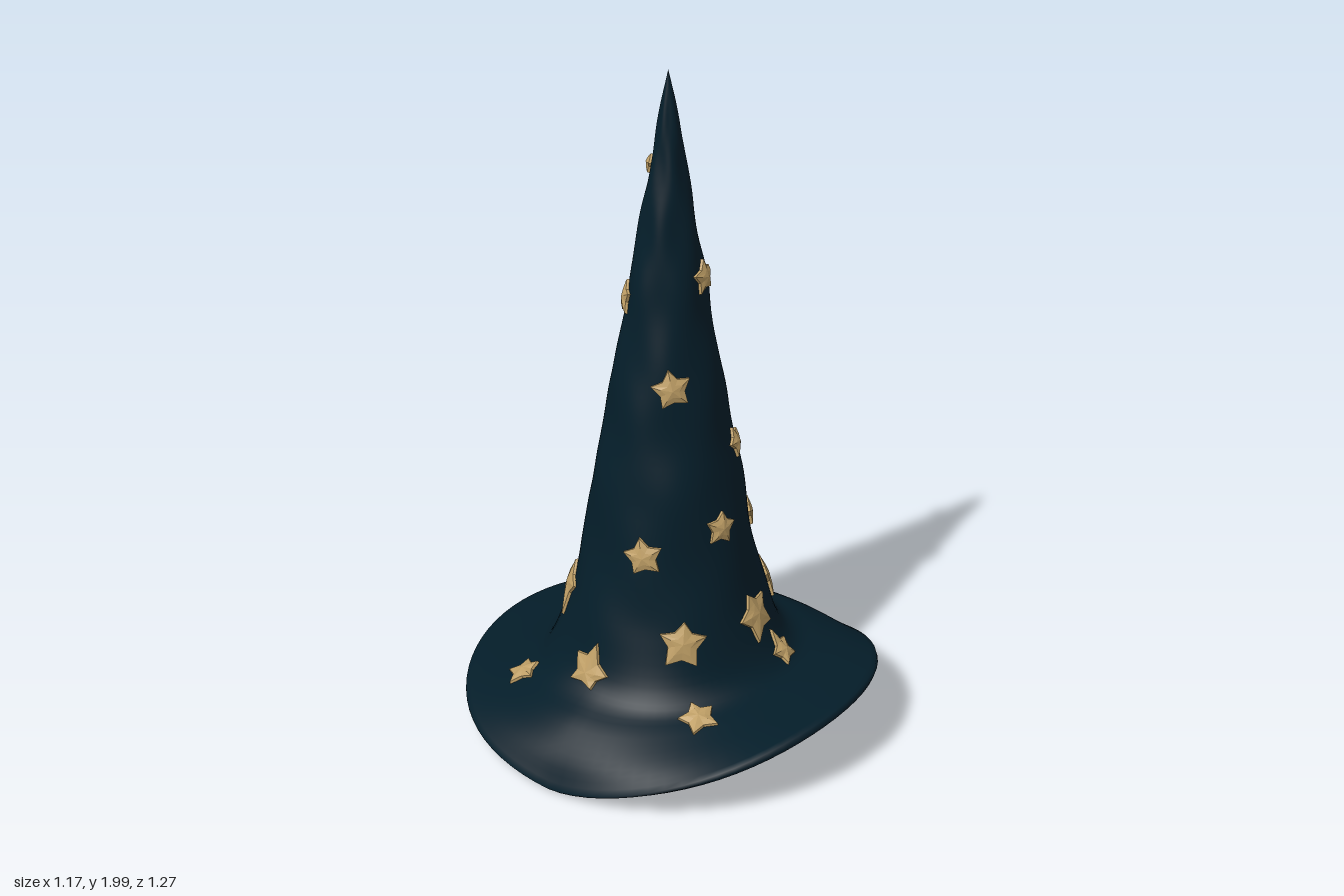
import * as THREE from 'three';

const V = (r, y) => new THREE.Vector3(r, y, 0);

// Brim profiles (radius, height) for the front, side and back, rim first
const brims = [
  [[0.63, 0.257], [0.55, 0.242], [0.46, 0.233], [0.39, 0.24], [0.342, 0.285]],
  [[0.582, 0.018], [0.538, 0.1], [0.455, 0.172], [0.38, 0.213], [0.338, 0.265]],
  [[0.63, 0.08], [0.55, 0.09], [0.465, 0.108], [0.4, 0.15], [0.35, 0.235]],
];
// Crown profile shared by all directions
const crown = [[0.295, 0.4], [0.268, 0.5], [0.245, 0.61], [0.226, 0.74], [0.208, 0.85], [0.181, 0.97],
  [0.163, 1.09], [0.141, 1.2], [0.118, 1.32], [0.104, 1.43], [0.083, 1.54], [0.067, 1.64],
  [0.046, 1.75], [0.034, 1.83], [0.018, 1.92], [0, 2]];
const [front, side, back] = brims.map((b) =>
  new THREE.CatmullRomCurve3([...b, ...crown].map((p) => V(...p))));

// Point of the cloth at an angle (0 = front) and height parameter t (0 = rim, 1 = tip)
function cloth(a, t) {
  const c = Math.cos(a);
  const p = side.getPoint(t);
  p.lerp((c > 0 ? front : back).getPoint(t), Math.pow(Math.abs(c), c > 0 ? 1.4 : 1.1));
  const lump = 0.004 * Math.sin(3 * a + 19 * t) * Math.sin(26 * t + 2 * a) + 0.002 * Math.sin(5 * a - 31 * t);
  const bulge = 0.004 * Math.sin(2 * a) ** 2 * Math.max(0, 1 - 6 * t);
  const r = Math.max(0, p.x + bulge + lump * Math.min(1, (1 - t) * 5));
  return new THREE.Vector3(r * Math.sin(a), p.y, r * Math.cos(a));
}

// Tangents and outward normal of the cloth
function frame(a, t) {
  const e = 0.004;
  const t0 = Math.max(0, t - e), t1 = Math.min(1, t + e);
  const u = cloth(a + e, t).sub(cloth(a - e, t)).divideScalar(2 * e);
  const v = cloth(a, t1).sub(cloth(a, t0)).divideScalar(t1 - t0);
  return { u: u.length(), v: v.length(), n: u.cross(v).normalize() };
}
const lifted = (a, t, h) => cloth(a, t).addScaledVector(frame(a, t).n, h);

function makeGeometry(pos, index) {
  const g = new THREE.BufferGeometry();
  g.setAttribute('position', new THREE.Float32BufferAttribute(pos, 3));
  g.setIndex(index);
  g.computeVertexNormals();
  return g;
}

// Thickness of the cloth, fullest where the brim meets the crown
const thickness = (t) => 0.024 + 0.008 * Math.min(1, t / 0.05) + 0.016 * Math.exp(-(((t - 0.17) / 0.07) ** 2));

// Hollow hat: lining from its peak down to the rim, then the outside up to the tip
function hatGeometry() {
  const SEG = 80, RINGS = 84, pos = [], index = [];
  const rows = [() => new THREE.Vector3(0, 1.76, 0)];
  for (let i = 50; i >= 0; i--) {
    const t = 0.84 * i / 50;
    rows.push((a) => lifted(a, t, -thickness(t)));
  }
  rows.push((a) => lifted(a, 0, -0.012).add(
    new THREE.Vector3(Math.sin(a), 0, Math.cos(a)).multiplyScalar(0.005)));
  for (let i = 0; i <= RINGS; i++) rows.push((a) => cloth(a, i / RINGS));
  rows.forEach((row, k) => {
    for (let j = 0; j < SEG; j++) {
      pos.push(...row(j / SEG * Math.PI * 2).toArray());
      if (k === 0) continue;
      const j1 = (j + 1) % SEG, lo = (k - 1) * SEG, hi = k * SEG;
      index.push(lo + j, lo + j1, hi + j1, lo + j, hi + j1, hi + j);
    }
  });
  return makeGeometry(pos, index);
}

// Padded five-pointed star wrapped onto the cloth nearest to a given point
function starGeometry(x, y, z, R, turn) {
  const a = Math.atan2(x, z), target = new THREE.Vector3(x, y, z);
  let t = 0, best = Infinity;
  for (let i = 4; i <= 480; i++) {
    const d = cloth(a, i / 500).distanceTo(target);
    if (d < best) { best = d; t = i / 500; }
  }
  const f = frame(a, t);
  const at = (k, scale, h) => {
    const r = (k % 2 ? 0.6 : 1) * R * scale, w = turn + k * Math.PI / 5;
    return lifted(a - r * Math.sin(w) / f.u, Math.max(0.005, t + r * Math.cos(w) / f.v), h).toArray();
  };
  const pos = [...at(0, 0, 0.018)], index = [];
  const loops = [[0.5, 0.014], [0.96, 0.008], [1, -0.004]];
  loops.forEach(([s, h], l) => {
    for (let k = 0; k < 10; k++) {
      pos.push(...at(k, s, h));
      const n = (k + 1) % 10, o = 1 + l * 10, i = o - 10;
      if (l === 0) index.push(0, o + k, o + n);
      else index.push(i + k, o + k, o + n, i + k, o + n, i + n);
    }
  });
  const g = makeGeometry(pos, index).toNonIndexed();
  g.computeVertexNormals();
  return g;
}

// Star centres x, y, z and radius
const stars = [
  [0.025, 1.43, 0.09, 0.052], [-0.105, 1.14, 0.09, 0.06], [0.16, 1.09, -0.02, 0.06],
  [0.085, 0.915, 0.16, 0.048], [0.12, 0.92, -0.155, 0.06], [-0.05, 0.715, 0.225, 0.054],
  [-0.22, 0.65, 0.08, 0.062], [0.2, 0.63, 0.15, 0.048], [-0.21, 0.4, 0.21, 0.074],
  [0.04, 0.41, 0.3, 0.078], [0.235, 0.4, 0.18, 0.072], [0.1, 0.265, 0.35, 0.054],
  [0.335, 0.25, -0.03, 0.078], [0.1, 0.46, -0.27, 0.076], [0.03, 0.21, -0.36, 0.06],
  [-0.17, 0.42, -0.25, 0.084], [-0.335, 0.265, -0.04, 0.072], [-0.07, 1.35, -0.095, 0.052],
  [-0.01, 1.74, -0.05, 0.03], [-0.315, 0.15, -0.315, 0.058], [-0.27, 0.21, 0.31, 0.06],
];

export function createModel() {
  const hat = new THREE.Group();
  hat.name = 'pointedHat';
  const navy = new THREE.MeshStandardMaterial({ color: 0x041d29 });
  navy.name = 'dark teal cloth';
  const gold = new THREE.MeshStandardMaterial({ color: 0xbf9f66 });
  gold.name = 'gold cloth';

  const body = new THREE.Mesh(hatGeometry(), navy);
  body.name = 'crownAndBrim';
  hat.add(body);

  const patches = new THREE.Group();
  patches.name = 'starPatches';
  stars.forEach(([x, y, z, R], i) => {
    const star = new THREE.Mesh(starGeometry(x, y, z, R, 0.25 * Math.sin(i * 2.3)), gold);
    star.name = `star${i + 1}`;
    patches.add(star);
  });
  hat.add(patches);
  return hat;
}
